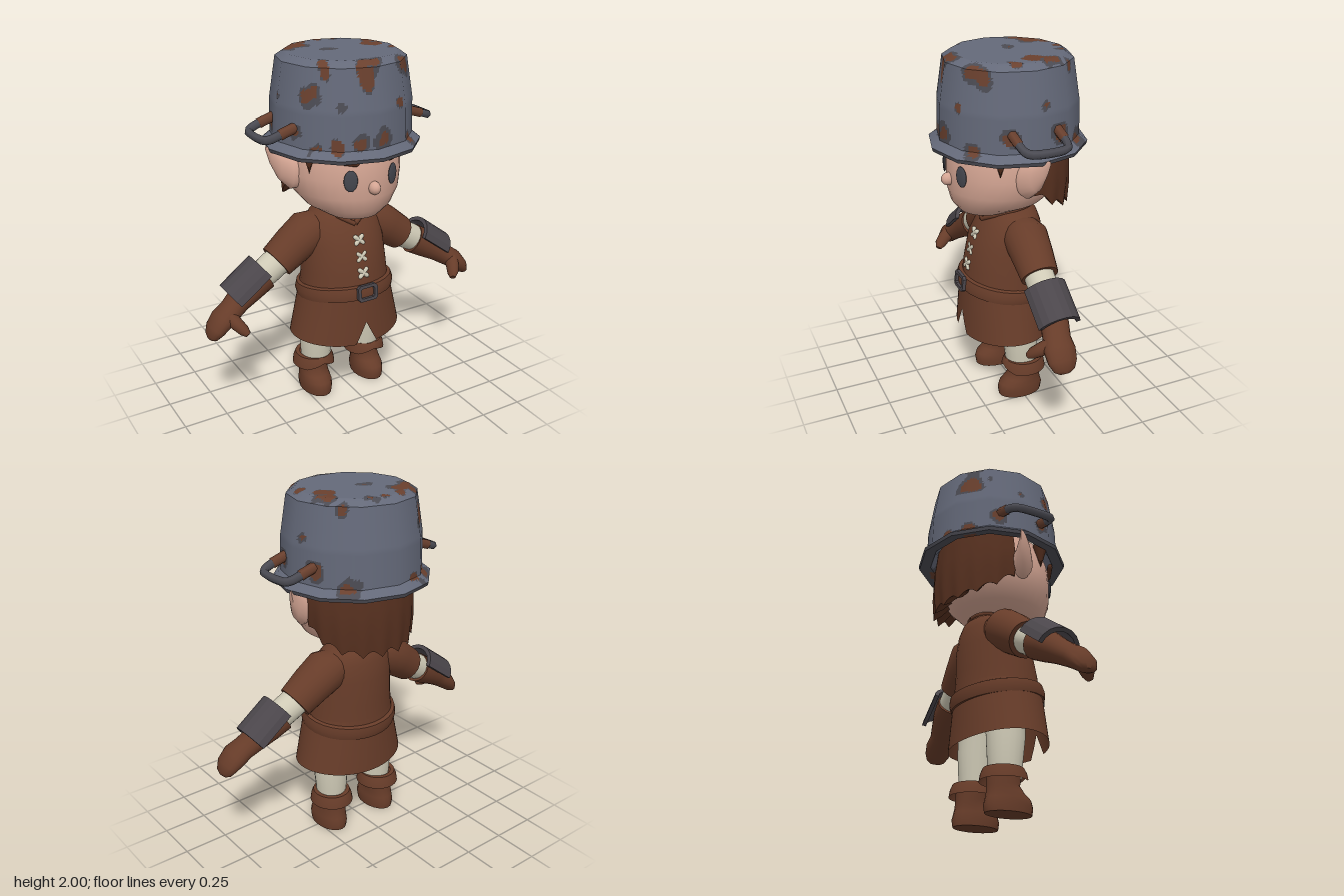
import * as THREE from 'three';
import { toCreasedNormals } from 'three/addons/utils/BufferGeometryUtils.js';

const material = (name, color, side = THREE.FrontSide) => {
  const m = new THREE.MeshStandardMaterial({ color, side });
  m.name = name;
  return m;
};
const steel = material('steel', 0x646979);
const tarnish = material('tarnish', 0x4b4b53);
const rust = material('rust', 0x6a402e);
const leather = material('leather', 0x673c29, THREE.DoubleSide);
const hairBrown = material('hair brown', 0x56301f, THREE.DoubleSide);
const iron = material('iron', 0x4b464b);
const skin = material('skin', 0xd4a593);
const linen = material('linen', 0xcfcab6);
const eyeGrey = material('eye grey', 0x44464e);

// Surface from rows and columns of points, with sharp edges kept above the crease angle
function grid(rows, cols, point, crease = 0.9) {
  const pos = [], idx = [], w = cols + 1;
  for (let i = 0; i <= rows; i++) for (let j = 0; j <= cols; j++) pos.push(...point(i, j));
  for (let i = 0; i < rows; i++) for (let j = 0; j < cols; j++) {
    const a = i * w + j, b = a + w;
    idx.push(a, a + 1, b + 1, a, b + 1, b);
  }
  const g = new THREE.BufferGeometry();
  g.setAttribute('position', new THREE.Float32BufferAttribute(pos, 3));
  g.setIndex(idx);
  return toCreasedNormals(g, crease);
}

// Capped loft through elliptical sections [x, y, z, radius along z, other radius]
function loft(sections, dir = null, sides = 20) {
  const s = [[...sections[0].slice(0, 3), 0, 0], ...sections, [...sections.at(-1).slice(0, 3), 0, 0]];
  const centre = (k) => new THREE.Vector3(...sections[Math.min(Math.max(k, 0), sections.length - 1)]);
  const frames = s.map((_, i) => {
    const t = dir ? new THREE.Vector3(...dir) : centre(i).sub(centre(i - 2)).normalize();
    const b = new THREE.Vector3(0, 0, 1).addScaledVector(t, -t.z).normalize();
    return [b.clone().cross(t), b];
  });
  return grid(s.length - 1, sides, (i, j) => {
    const th = (j % sides) / sides * Math.PI * 2, [a, b] = frames[i];
    return new THREE.Vector3(...s[i].slice(0, 3))
      .addScaledVector(a, s[i][4] * Math.cos(th)).addScaledVector(b, s[i][3] * Math.sin(th)).toArray();
  });
}
const UP = [0, 1, 0];

const place = (g, [x, y, z], [rx, ry, rz] = [0, 0, 0]) =>
  g.applyMatrix4(new THREE.Matrix4().makeRotationFromEuler(new THREE.Euler(rx, ry, rz)).setPosition(x, y, z));

function mirrored(geo) {
  const g = geo.index ? geo.toNonIndexed() : geo.clone();
  g.scale(-1, 1, 1);
  for (const a of Object.values(g.attributes)) {
    for (let k = 0; k < a.count; k += 3) for (let c = 0; c < a.itemSize; c++) {
      const v = a.getComponent(k + 1, c);
      a.setComponent(k + 1, c, a.getComponent(k + 2, c));
      a.setComponent(k + 2, c, v);
    }
  }
  return g;
}

// Twelve-sided pot with rust blotches, round normals and materials chosen per face
function potGeometry() {
  const corners = [[0.3, 1.6], [0.36, 1.52], [0.425, 1.505], [0.43, 1.525], [0.385, 1.56], [0.38, 1.75], [0.345, 1.97], [0.3, 2], [0, 2]];
  const profile = [corners[0]];
  for (let k = 1; k < corners.length; k++) {
    const [r0, y0] = corners[k - 1], [r1, y1] = corners[k];
    const n = Math.ceil(Math.hypot(r1 - r0, y1 - y0) / 0.015);
    for (let i = 1; i <= n; i++) profile.push([r0 + (r1 - r0) * i / n, y0 + (y1 - y0) * i / n]);
  }
  const cols = 144;
  const g = grid(profile.length - 1, cols, (i, j) => {
    const a = (j % cols) / cols * Math.PI * 2, [r, y] = profile[i];
    return [r * Math.sin(a), y, r * Math.cos(a)];
  }, 0.6);
  // wall blotches: angle, height, size; a negative size leaves tarnish only
  const wall = [[-0.12, 1.94, 0.065], [-0.8, 1.95, 0.03], [-0.95, 1.84, 0.04], [-0.7, 1.83, -0.01], [-0.5, 1.78, -0.012],
    [0.55, 1.95, 0.035], [0.8, 1.95, 0.04], [0.43, 1.77, 0.015], [1.77, 1.8, 0.03], [2.5, 1.76, 0.008], [2.3, 1.96, 0.03],
    [-0.9, 1.57, 0.035], [-0.55, 1.58, 0.035], [-0.25, 1.58, 0.03], [0.05, 1.59, 0.035], [0.7, 1.56, 0.03], [1, 1.57, 0.025],
    [1.2, 1.64, 0.03], [1.95, 1.64, 0.03], [-1.2, 1.64, 0.03], [-1.95, 1.64, 0.03], [2.4, 1.55, 0.04],
    [-2.4, 1.55, 0.05], [-2.75, 1.55, 0.03], [-2.36, 1.86, 0.06], [-2.1, 1.9, 0.03], [-1.6, 1.8, -0.005], [3.1, 1.82, -0.015]];
  const top = [[-0.18, -0.2, 0.06], [-0.23, -0.15, 0.03], [-0.1, -0.28, 0.03], [0, -0.29, 0.03], [0.1, -0.28, 0.03], [-0.045, -0.03, 0.012],
    [0.22, -0.05, 0.05], [0.27, -0.12, 0.05], [0.29, 0.08, 0.04], [-0.25, 0.23, 0.04], [-0.02, 0.33, 0.04], [0.2, 0.29, 0.025]];
  const blots = [...wall.map(([a, y, s]) => [0.38 * Math.sin(a), y, 0.38 * Math.cos(a), s]), ...top.map(([x, z, s]) => [x, 2, z, s])];
  const p = g.attributes.position, buckets = [[], [], []];
  for (let k = 0; k < p.count; k += 3) {
    const [x, y, z] = ['getX', 'getY', 'getZ'].map((f) => (p[f](k) + p[f](k + 1) + p[f](k + 2)) / 3);
    let d = 1;
    for (const [bx, by, bz, s] of blots) d = Math.min(d, Math.hypot(x - bx, y - by, z - bz) - s);
    d += 0.009 * (Math.sin(41 * x + 17 * y) + Math.sin(37 * z - 29 * y + 1) + Math.sin(53 * (x + z) + 31 * y));
    const margin = 0.017 + 0.014 * Math.sin(9 * x + 14 * y - 8 * z);
    const underside = y < 1.524;
    buckets[d < 0 ? 2 : d < margin || underside ? 1 : 0].push(k, k + 1, k + 2);
  }
  for (let k = 0; k < p.count; k++) {
    const x = p.getX(k), z = p.getZ(k), step = Math.PI / 6;
    const a = (Math.atan2(x, z) + Math.PI * 2) % step;
    const f = Math.cos(step / 2) / Math.cos(a - step / 2);
    p.setXYZ(k, x * f, p.getY(k), z * f);
  }
  g.setIndex(buckets.flat());
  let start = 0;
  buckets.forEach((b, i) => { g.addGroup(start, b.length, i); start += b.length; });
  return g;
}

export function createModel() {
  const model = new THREE.Group();
  model.name = 'potHelmetAdventurer';
  const add = (name, geo, mat) => {
    const m = new THREE.Mesh(geo, mat);
    m.name = name;
    model.add(m);
    return m;
  };
  const pair = (name, geo, mat) => {
    add(name + 'Left', geo, mat);
    add(name + 'Right', mirrored(geo), mat);
  };
  const tube = (pts, r) => new THREE.TubeGeometry(new THREE.CatmullRomCurve3(pts.map((q) => new THREE.Vector3(...q)), false, 'centripetal'), 24, r, 6);

  // Pot helmet and its carrying handles
  add('potHelmet', potGeometry(), [steel, tarnish, rust]);
  pair('potHandle', tube([[0.35, 1.655, 0.125], [0.43, 1.63, 0.125], [0.48, 1.612, 0.115], [0.5, 1.605, 0.09], [0.5, 1.605, -0.09],
    [0.48, 1.612, -0.115], [0.43, 1.63, -0.125], [0.35, 1.655, -0.125]], 0.023), tarnish);
  for (const z of [0.125, -0.125]) pair('handleRust', tube([[0.34, 1.658, z], [0.39, 1.643, z], [0.43, 1.63, z]], 0.028), rust);

  // Head, face and hair
  add('head', loft([[0, 1.135, 0.14, 0.08, 0.08], [0, 1.15, 0.12, 0.16, 0.15], [0, 1.2, 0.06, 0.26, 0.235], [0, 1.28, 0.025, 0.315, 0.295],
    [0, 1.38, 0.015, 0.325, 0.313], [0, 1.48, 0.01, 0.325, 0.305], [0, 1.58, 0, 0.3, 0.28]], UP, 32), skin);
  add('neck', place(new THREE.CylinderGeometry(0.095, 0.105, 0.2, 20), [0, 1.15, -0.01]), skin);
  add('nose', place(new THREE.SphereGeometry(1, 14, 10).scale(0.032, 0.036, 0.04), [0, 1.34, 0.345]), skin);
  pair('ear', loft([[0.27, 1.39, 0.03, 0.06, 0.09], [0.33, 1.395, 0.025, 0.058, 0.098], [0.38, 1.43, 0, 0.042, 0.08],
    [0.415, 1.48, -0.025, 0.02, 0.045], [0.43, 1.515, -0.045, 0.004, 0.01]], [1, 0, 0]), skin);
  pair('eye', place(new THREE.SphereGeometry(1, 20, 12).scale(0.037, 0.058, 0.009), [0.127, 1.39, 0.318], [0, 0.42, 0]), eyeGrey);
  pair('eyebrow', place(new THREE.CapsuleGeometry(0.021, 0.09, 4, 10).rotateZ(Math.PI / 2).scale(1, 1, 0.7), [0.145, 1.495, 0.31], [0, 0.45, 0.15]), hairBrown);
  pair('sideLock', place(new THREE.ConeGeometry(0.045, 0.14, 8).rotateX(Math.PI), [0.285, 1.485, 0.165]), hairBrown);
  const hairRows = [[0, 0.98], [0.35, 1.03], [0.7, 1.04], [1, 1.01], [0.93, 0.88], [0.8, 0.72]];
  add('hair', grid(hairRows.length - 1, 72, (i, j) => {
    const u = j / 72, e = Math.abs(2 * u - 1), a = (0.52 + 0.96 * u) * Math.PI;
    const low = 1.155 + 0.14 * e ** 3 + 0.035 * Math.abs(Math.sin(u * Math.PI * 9));
    const [t, s] = hairRows[i], y = 1.56 + (low - 1.56) * t;
    const r = s * (1 - 0.05 * e ** 6) * (1 + 0.012 * t * Math.cos(u * Math.PI * 18));
    return [0.32 * r * Math.sin(a), y, 0.325 * r * Math.cos(a)];
  }), hairBrown);

  // Tunic, collar, split skirt
  add('tunic', loft([[0, 0.64, 0.035, 0.235, 0.265], [0, 0.8, 0.03, 0.22, 0.25], [0, 0.95, 0.015, 0.205, 0.238], [0, 1.05, -0.005, 0.17, 0.225],
    [0, 1.11, -0.015, 0.14, 0.18], [0, 1.14, -0.015, 0.11, 0.12]], UP, 32), leather);
  const collar = [[0, 1.07, 0.155], [0.07, 1.11, 0.115], [0.115, 1.14, 0], [0.07, 1.145, -0.105], [0, 1.145, -0.125]];
  pair('collar', tube(collar, 0.014), leather);
  add('skirt', grid(4, 64, (i, j) => {
    const a = (j % 64) / 64 * Math.PI * 2, t = i / 4;
    const fromFront = Math.min(a, Math.PI * 2 - a);
    const low = 0.39 + 0.02 * Math.sin(a) ** 2 + 0.13 * Math.max(0, 1 - fromFront / 0.1965);
    const y = low + (0.72 - low) * t, k = (0.72 - y) / 0.32;
    return [(0.26 + 0.075 * k) * Math.sin(a), y, 0.04 + (0.235 + 0.016 * k) * Math.cos(a)];
  }), leather);

  // Cross-stitched laces
  for (const [y, z] of [[0.99, 0.198], [0.9, 0.223], [0.81, 0.246]]) for (const turn of [0.85, -0.85]) {
    add('lace', place(new THREE.CapsuleGeometry(0.013, 0.055, 4, 8), [0, y, z], [-0.25, 0, turn]), linen);
  }

  // Belt and buckle, tipped down at the back
  const belt = add('belt', loft([[0, -0.042, 0, 0.235, 0.262], [0, -0.036, 0, 0.252, 0.28], [0, 0, 0, 0.258, 0.288],
    [0, 0.036, 0, 0.25, 0.278], [0, 0.042, 0, 0.235, 0.262]], UP, 32), leather);
  belt.position.set(0, 0.675, 0.035);
  belt.rotation.x = -0.12;
  const frame = (w, h, c, P) => new P([[-w + c, -h], [w - c, -h], [w, -h + c], [w, h - c], [w - c, h], [-w + c, h], [-w, h - c], [-w, -h + c]]
    .map((q) => new THREE.Vector2(...q)));
  const buckleShape = frame(0.062, 0.047, 0.015, THREE.Shape);
  buckleShape.holes.push(frame(0.043, 0.029, 0.008, THREE.Path));
  add('buckle', place(new THREE.ExtrudeGeometry(buckleShape, { depth: 0.02, bevelEnabled: false }), [0, 0.708, 0.282], [-0.12, 0, 0]), iron);

  // Arms: sleeve, undersleeve, glove, thumb
  pair('sleeve', loft([[0.12, 1.04, -0.02, 0.1, 0.08], [0.2, 1.01, -0.02, 0.125, 0.12], [0.3, 0.945, -0.015, 0.115, 0.112], [0.405, 0.87, -0.01, 0.103, 0.1]]), leather);
  pair('undersleeve', loft([[0.36, 0.9, -0.01, 0.083, 0.08], [0.47, 0.835, 0, 0.08, 0.08], [0.57, 0.78, 0, 0.07, 0.07]]), linen);
  pair('glove', loft([[0.495, 0.815, 0, 0.088, 0.088], [0.58, 0.765, 0.01, 0.085, 0.082], [0.66, 0.71, 0.025, 0.075, 0.066], [0.71, 0.675, 0.04, 0.074, 0.06],
    [0.765, 0.64, 0.05, 0.085, 0.058], [0.81, 0.595, 0.055, 0.078, 0.046], [0.833, 0.56, 0.055, 0.058, 0.03], [0.84, 0.545, 0.055, 0.03, 0.015]]), leather);
  pair('thumb', loft([[0.735, 0.665, 0.07, 0.045, 0.04], [0.715, 0.635, 0.125, 0.04, 0.036], [0.69, 0.605, 0.165, 0.034, 0.03], [0.675, 0.585, 0.185, 0.018, 0.016]]), leather);

  // Bracer plate over the top of each forearm
  const arc = new THREE.Shape();
  arc.absarc(0, 0, 0.122, 0.2, Math.PI - 0.2, false);
  arc.absarc(0, 0, 0.098, Math.PI - 0.2, 0.2, true);
  const bracer = new THREE.ExtrudeGeometry(arc, { depth: 0.225, bevelEnabled: false, curveSegments: 4 });
  bracer.applyMatrix4(new THREE.Matrix4().makeBasis(new THREE.Vector3(0, 0, -1), new THREE.Vector3(0.6, 0.8, 0), new THREE.Vector3(0.8, -0.6, 0))
    .setPosition(0.485, 0.84, 0.008));
  pair('bracer', bracer, iron);

  // Legs, boots and notched cuffs
  pair('leg', loft([[0.165, 0.18, -0.01, 0.085, 0.085], [0.165, 0.26, -0.01, 0.093, 0.09], [0.165, 0.4, -0.005, 0.105, 0.1], [0.15, 0.6, 0, 0.11, 0.1]], UP), linen);
  pair('boot', loft([[0.178, 0, 0, 0.13, 0.083], [0.178, 0.04, 0, 0.136, 0.088], [0.178, 0.075, 0, 0.126, 0.086], [0.177, 0.105, -0.015, 0.104, 0.082],
    [0.175, 0.14, -0.028, 0.088, 0.082], [0.172, 0.215, -0.02, 0.092, 0.09]], UP), leather);
  pair('bootCuff', grid(3, 32, (i, j) => {
    const a = (j % 32) / 32 * Math.PI * 2, fromFront = Math.min(a, Math.PI * 2 - a);
    const low = 0.165 + 0.035 * Math.max(0, 1 - fromFront / 0.8);
    const [t, r] = [[0, 0.122], [0.55, 0.116], [1, 0.104], [1, 0.08]][i];
    return [0.174 + r * Math.sin(a), low + (0.232 - low) * t, -0.024 + r * 1.05 * Math.cos(a)];
  }), leather);
  return model;
}
